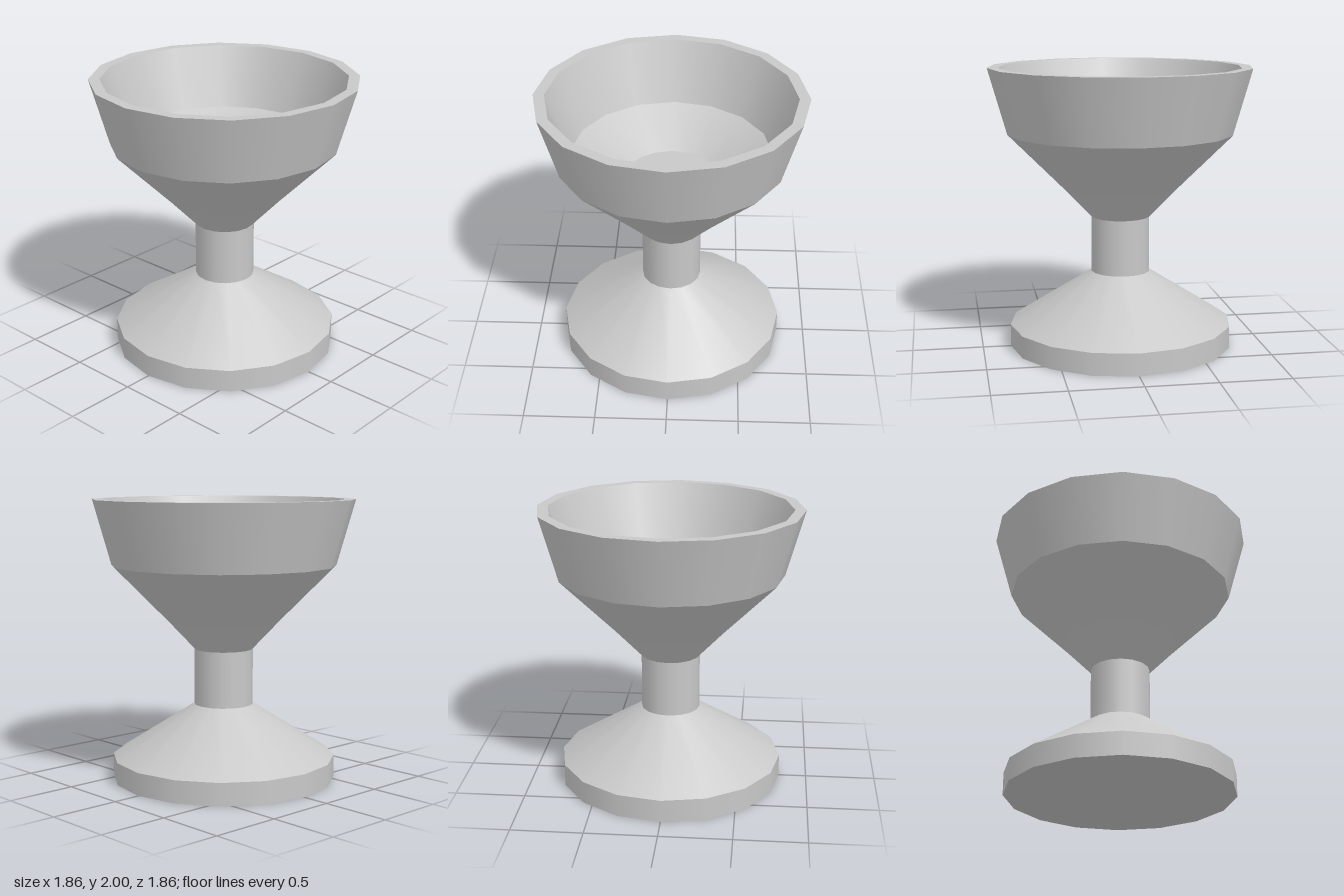
import * as THREE from 'three';

const SIDES = 16;

export function createModel() {
  const model = new THREE.Group();
  const grey = new THREE.MeshStandardMaterial({ color: 0xc8c8c8 });
  grey.name = 'light grey';

  // One band per profile step: smooth around the axis, crisp between bands.
  function part(name, profile) {
    const group = new THREE.Group();
    group.name = name;
    for (let i = 0; i < profile.length - 1; i++) {
      const points = [profile[i], profile[i + 1]].map(([r, y]) => new THREE.Vector2(r, y));
      const band = new THREE.Mesh(new THREE.LatheGeometry(points, SIDES), grey);
      band.name = name + 'Band' + (i + 1);
      group.add(band);
    }
    model.add(group);
  }

  // Underside, upright edge and sloping top of the foot
  part('foot', [[0, 0], [0.8, 0], [0.8, 0.16], [0.21, 0.535]]);

  // Straight stem
  part('stem', [[0.21, 0.535], [0.21, 0.935]]);

  // Outside of the bowl, up to the rim
  part('bowlOutside', [[0.21, 0.935], [0.405, 1.14], [0.8, 1.535], [0.932, 2]]);

  // Flat rim
  part('rim', [[0.932, 2], [0.855, 2]]);

  // Inner wall, sloping lower part and flat floor
  part('bowlInside', [[0.855, 2], [0.695, 1.57], [0.332, 1.37], [0, 1.37]]);

  return model;
}
